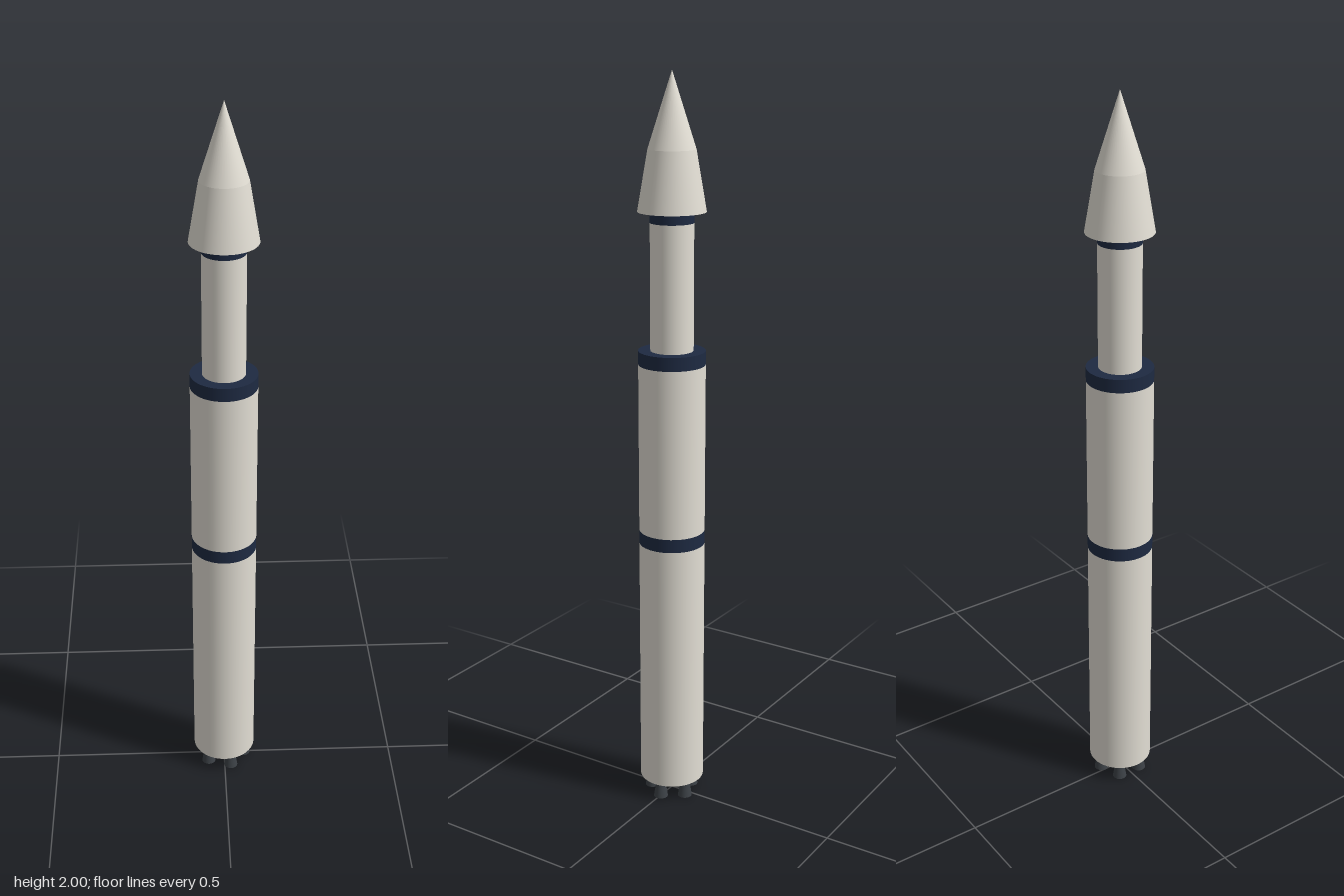
import * as THREE from 'three';

const SIDES = 48;
const BODY_R = 0.089, UPPER_R = 0.057, SHOULDER_R = 0.062;

export function createModel() {
  const white = new THREE.MeshStandardMaterial({ color: 0xe2ded4 });
  white.name = 'warmWhite';
  const navy = new THREE.MeshStandardMaterial({ color: 0x1e2a42 });
  navy.name = 'navy';
  const metal = new THREE.MeshStandardMaterial({ color: 0x3c4146 });
  metal.name = 'darkMetal';

  const rocket = new THREE.Group();
  rocket.name = 'rocket';

  // Round section between two heights
  function section(name, material, y0, y1, r0, r1 = r0, sides = SIDES) {
    const geometry = new THREE.CylinderGeometry(r1, r0, y1 - y0, sides);
    const mesh = new THREE.Mesh(geometry, material);
    mesh.name = name;
    mesh.position.y = (y0 + y1) / 2;
    rocket.add(mesh);
    return mesh;
  }

  // Main body with two dark bands
  section('firstStage', white, 0.05, 0.755, BODY_R);
  section('interstageBand', navy, 0.755, 0.792, BODY_R);
  section('secondStage', white, 0.792, 1.253, BODY_R);
  section('upperBand', navy, 1.253, 1.29, BODY_R);

  // Slim upper stage and its collar
  section('upperStage', white, 1.29, 1.623, UPPER_R);
  section('fairingCollar', navy, 1.623, 1.651, UPPER_R);

  // Fairing: flared skirt and pointed nose
  section('fairingSkirt', white, 1.651, 1.807, BODY_R, SHOULDER_R);
  const nose = section('noseCone', white, 1.807, 2, SHOULDER_R);
  nose.geometry = new THREE.ConeGeometry(SHOULDER_R, 0.193, SIDES);

  // Ring of five engine nozzles
  for (let i = 0; i < 5; i++) {
    const a = (i / 5) * Math.PI * 2;
    const nozzle = section('engineNozzle' + (i + 1), metal, 0, 0.05, 0.02, 0.012, 20);
    nozzle.position.x = Math.cos(a) * 0.058;
    nozzle.position.z = Math.sin(a) * 0.058;
  }

  return rocket;
}
